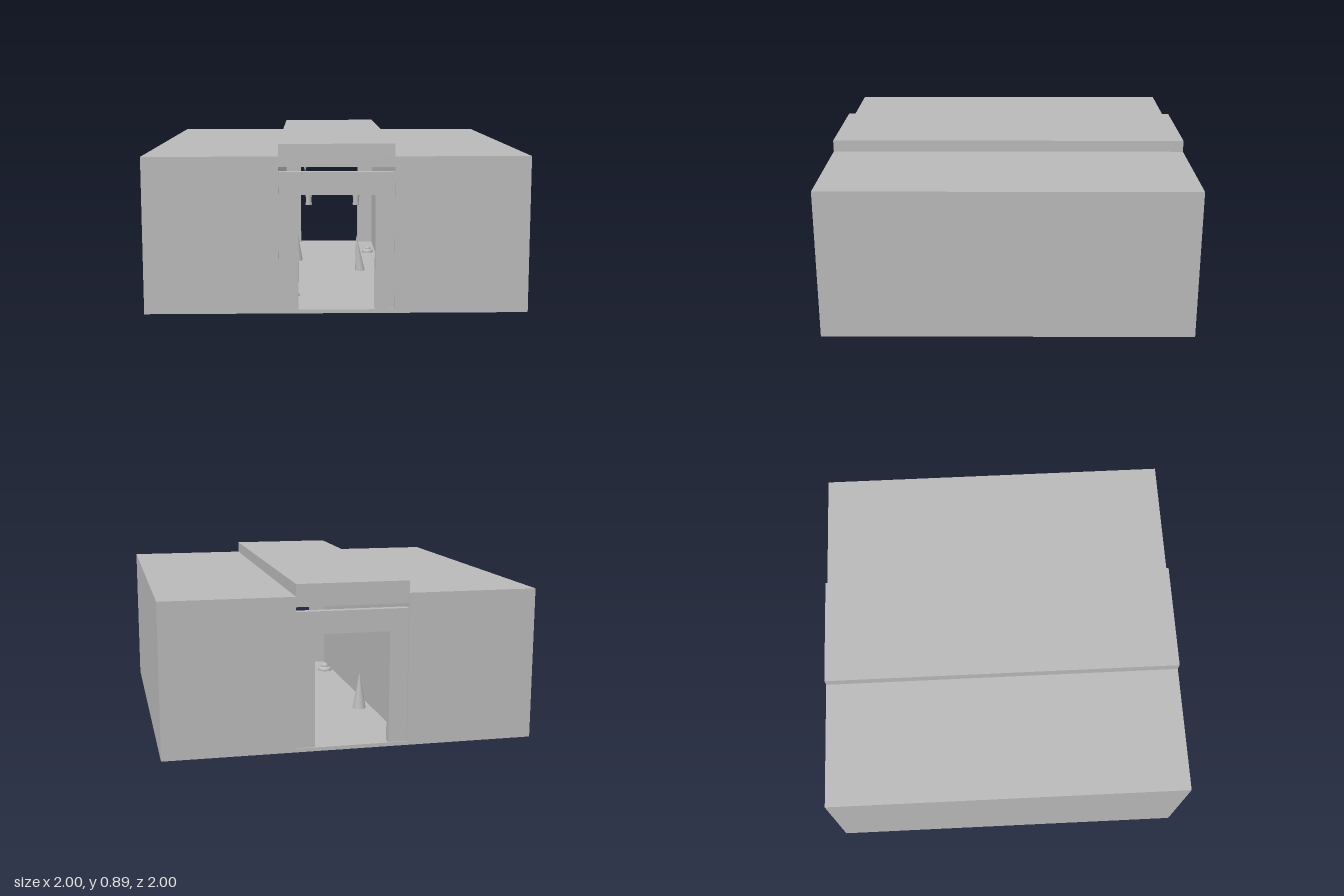
import * as THREE from 'three';

const stone = new THREE.MeshStandardMaterial({ color: 0xb8b8b8 });
stone.name = 'grey stone';

export function createModel() {
  const model = new THREE.Group();
  model.name = 'corridorBlock';

  const add = (name, geometry, x, y, z, parent = model) => {
    const mesh = new THREE.Mesh(geometry, stone);
    mesh.name = name;
    mesh.position.set(x, y, z);
    parent.add(mesh);
    return mesh;
  };
  // Box given by its limits on each axis
  const box = (name, x0, x1, y0, y1, z0, z1, parent) =>
    add(name, new THREE.BoxGeometry(x1 - x0, y1 - y0, z1 - z0),
      (x0 + x1) / 2, (y0 + y1) / 2, (z0 + z1) / 2, parent);

  // Spike whose tip leans sideways; a negative height hangs down
  const spike = (name, x, y, z, radius, height, lean) => {
    const g = new THREE.ConeGeometry(radius, Math.abs(height), 16);
    g.translate(0, Math.abs(height) / 2, 0);
    const p = g.attributes.position;
    for (let i = 0; i < p.count; i++) {
      p.setX(i, p.getX(i) + lean * p.getY(i) / Math.abs(height));
    }
    if (height < 0) g.rotateZ(Math.PI);
    g.computeVertexNormals();
    return add(name, g, x, y, z);
  };

  // Shell: floor, two solid sides and the raised roof strip
  box('floor', -0.3, 0.3, 0, 0.02, -1, 1);
  for (const s of [-1, 1]) {
    box(s > 0 ? 'leftBlock' : 'rightBlock',
      Math.min(s * 0.3, s), Math.max(s * 0.3, s), 0, 0.82, -1, 1);
  }
  box('roofStrip', -0.3, 0.3, 0.82, 0.885, -1, 1);

  // End walls: door frame, open slot and lintel, set back slightly
  const frame = new THREE.Shape([
    [-0.3, 0.02], [-0.2, 0.02], [-0.2, 0.62], [0.2, 0.62],
    [0.2, 0.02], [0.3, 0.02], [0.3, 0.74], [-0.3, 0.74],
  ].map(([x, y]) => new THREE.Vector2(x, y)));
  for (const s of [-1, 1]) {
    const end = new THREE.Group();
    end.name = s > 0 ? 'frontWall' : 'backWall';
    add('doorFrame', new THREE.ExtrudeGeometry(frame, { depth: 0.045, bevelEnabled: false }),
      0, 0, 0.947, end);
    box('lintel', -0.3, 0.3, 0.765, 0.82, 0.947, 0.992, end);
    if (s < 0) end.rotation.y = Math.PI;
    model.add(end);
  }

  // Wall lanterns hanging from brackets
  for (const s of [-1, 1]) {
    const lantern = new THREE.Group();
    lantern.name = s > 0 ? 'leftLantern' : 'rightLantern';
    box('bracket', 0.145, 0.3, 0.535, 0.555, -0.01, 0.01, lantern);
    add('hanger', new THREE.CylinderGeometry(0.003, 0.003, 0.06, 8), 0.148, 0.515, 0, lantern);
    add('cap', new THREE.CylinderGeometry(0.02, 0.02, 0.012, 16), 0.145, 0.482, 0, lantern);
    add('glass', new THREE.CylinderGeometry(0.017, 0.017, 0.04, 16), 0.145, 0.456, 0, lantern);
    add('base', new THREE.CylinderGeometry(0.02, 0.02, 0.012, 16), 0.145, 0.432, 0, lantern);
    if (s < 0) lantern.rotation.y = Math.PI;
    model.add(lantern);
  }

  // Floor and ceiling spikes
  spike('floorSpike', 0.17, 0.018, 0.02, 0.03, 0.225, -0.025);
  spike('floorSpike', -0.225, 0.018, -0.3, 0.04, 0.22, 0);
  spike('ceilingSpike', -0.165, 0.82, 0.2, 0.045, -0.17, 0);
  spike('ceilingSpike', 0.15, 0.82, -0.2, 0.06, -0.18, -0.02);

  // Loose rocks beside the walls
  for (const [x, z, size] of [[-0.245, 0.69, 0.05], [0.25, -0.57, 0.038]]) {
    const rock = add('rock', new THREE.SphereGeometry(size, 10, 6), x, 0.025, z);
    rock.scale.y = 0.52;
    const top = add('rockTop', new THREE.SphereGeometry(size * 0.55, 8, 6), x, 0.025 + size * 0.5, z);
    top.scale.y = 0.8;
  }

  return model;
}
